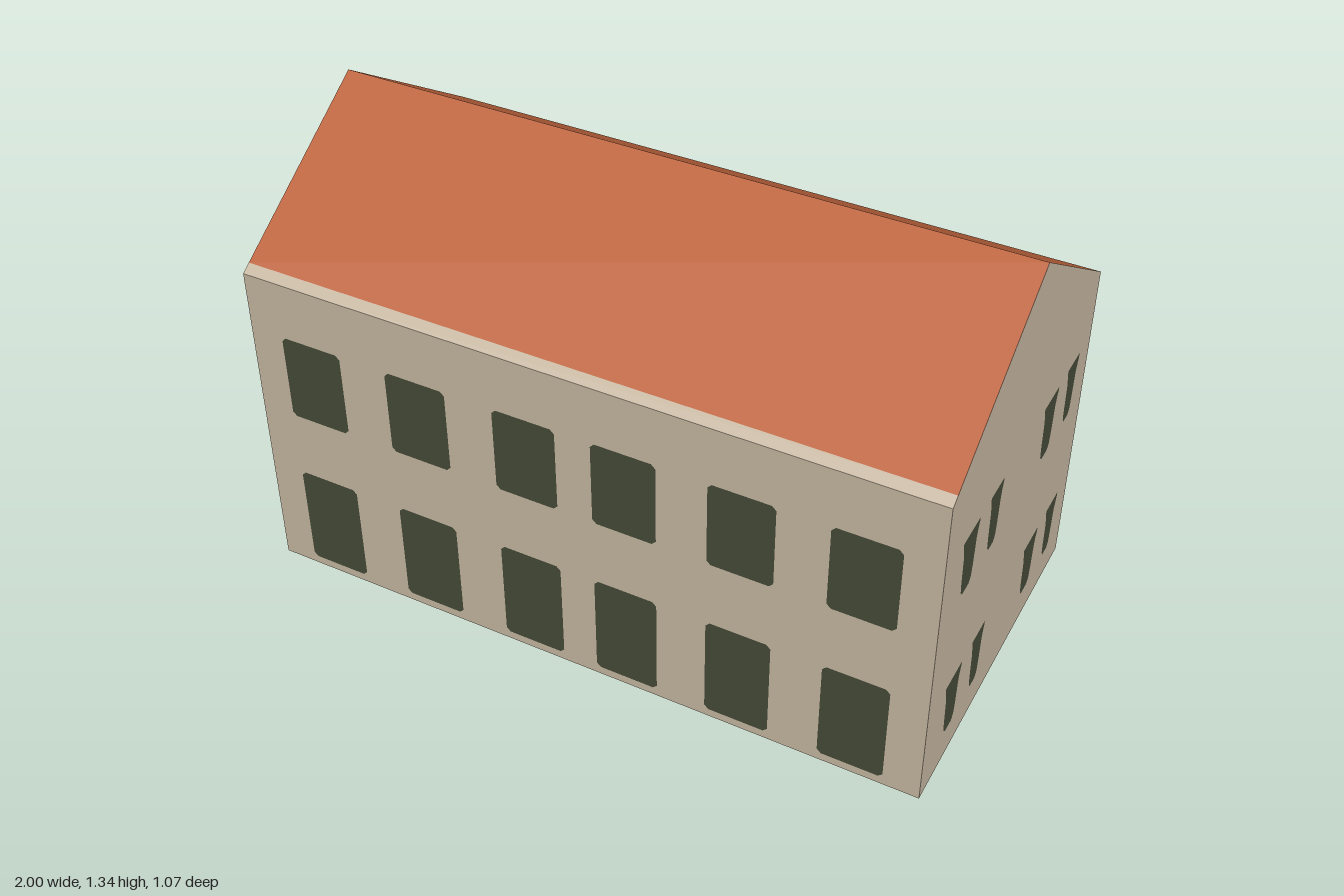
import * as THREE from 'three';

const HALF_X = 1, HALF_Z = 0.535, EAVE = 0.99, RIDGE = 1.34, TRIM_Z = 0.507;

const paint = (name, color) => {
  const m = new THREE.MeshStandardMaterial({ color, side: THREE.DoubleSide });
  m.name = name;
  return m;
};

// Outline from [x, y] pairs
const outline = (points) => new THREE.Shape(points.map(([x, y]) => new THREE.Vector2(x, y)));

// Rectangular window with slightly clipped corners
function wideWindow(x0, x1, y0, y1) {
  const c = 0.012;
  return outline([
    [x0 + c, y0], [x1 - c, y0], [x1, y0 + c], [x1, y1 - c],
    [x1 - c, y1], [x0 + c, y1], [x0, y1 - c], [x0, y0 + c],
  ]);
}

// Narrow window with a wide head and a rounded, tapering foot
function narrowWindow(center, head, body, y0, y1) {
  const half = [
    [body * 0.5, y0], [body * 0.8, y0 + 0.015], [body * 0.9, y0 + 0.05],
    [body, y1 - 0.055], [head * 0.88, y1 - 0.03], [head, y1 - 0.01], [head, y1],
  ];
  const right = half.map(([x, y]) => [center + x, y]);
  const left = half.map(([x, y]) => [center - x, y]).reverse();
  return outline([...right, ...left]);
}

export function createModel() {
  const wall = paint('plaster', 0xc8b9a3);
  const roof = paint('roofTiles', 0xbf643d);
  const glass = paint('darkGlass', 0x464c39);
  const model = new THREE.Group();
  model.name = 'house';

  // Wall with window openings, each opening filled by a flush pane
  function addWall(name, points, windows, distance, turn) {
    const group = new THREE.Group();
    group.name = name;
    const shape = outline(points);
    shape.holes.push(...windows);
    const wallMesh = new THREE.Mesh(new THREE.ShapeGeometry(shape), wall);
    wallMesh.name = name + 'Surface';
    const panes = new THREE.Mesh(new THREE.ShapeGeometry(windows), glass);
    panes.name = name + 'Windows';
    for (const mesh of [wallMesh, panes]) {
      mesh.position.z = distance;
      group.add(mesh);
    }
    group.rotation.y = turn;
    model.add(group);
  }

  // Strip of roof slope between two distances from the ridge line
  function addSlope(name, zOuter, zInner, material, turn) {
    const rise = (RIDGE - EAVE) / HALF_Z;
    const depth = zOuter - zInner;
    const mid = (zOuter + zInner) / 2;
    const strip = new THREE.Mesh(new THREE.PlaneGeometry(HALF_X * 2, depth * Math.hypot(1, rise)), material);
    strip.name = name;
    strip.position.set(0, RIDGE - mid * rise, mid);
    strip.rotation.x = -Math.atan2(1, rise);
    const group = new THREE.Group();
    group.name = name + 'Side';
    group.rotation.y = turn;
    group.add(strip);
    model.add(group);
  }

  const longWall = [[-HALF_X, 0], [HALF_X, 0], [HALF_X, EAVE], [-HALF_X, EAVE]];
  const gable = [[-HALF_Z, 0], [HALF_Z, 0], [HALF_Z, EAVE], [0, RIDGE], [-HALF_Z, EAVE]];
  const columns = [-0.9, -0.57, -0.24, 0.05, 0.38, 0.71];
  const slits = [[-0.357, 0.055, 0.043], [-0.181, 0.045, 0.035], [0.222, 0.055, 0.043], [0.398, 0.047, 0.034]];

  // Opposite sides match after a half turn
  for (const [turn, longName, gableName] of [[0, 'front', 'leftGable'], [Math.PI, 'back', 'rightGable']]) {
    const wide = columns.flatMap((x) => [
      wideWindow(x, x + 0.186, 0.025, 0.345),
      wideWindow(x, x + 0.186, 0.55, 0.815),
    ]);
    const narrow = slits.flatMap(([c, head, body]) => [
      narrowWindow(c, head, body, 0.1, 0.288),
      narrowWindow(c, head, body, 0.59, 0.782),
    ]);
    addWall(longName + 'Wall', longWall, wide, HALF_Z, turn);
    addWall(gableName, gable, narrow, HALF_X, turn + Math.PI / 2);
    addSlope(longName + 'Roof', TRIM_Z, 0, roof, turn);
    addSlope(longName + 'EaveTrim', HALF_Z, TRIM_Z, wall, turn);
  }
  return model;
}
